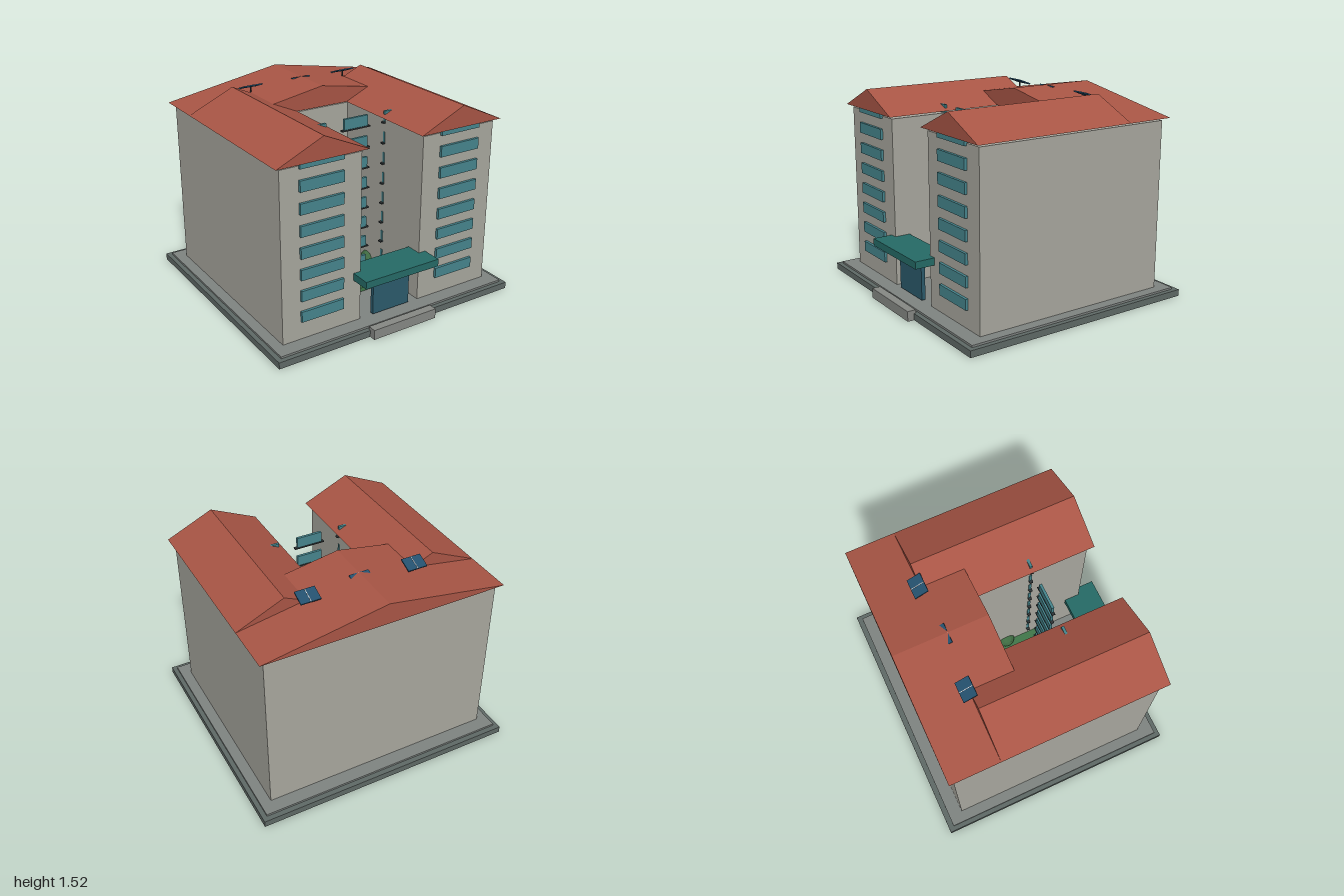
import * as THREE from 'three';

const mat = (color) => new THREE.MeshStandardMaterial({ color, flatShading: true });
const M = {
  wall: mat(0xa8a79e), roof: mat(0xa85545), glass: mat(0x46858d), slab: mat(0x5f6966),
  paving: mat(0x7f8481), step: mat(0x868884), lawn: mat(0x40774a), canopy: mat(0x256a66),
  door: mat(0x2b5a6b), rail: mat(0x2f3537), gold: mat(0xb08a3a), bush: mat(0x3f6b42),
  panel: mat(0x24506e), line: mat(0xcccccc),
};

export function createModel() {
  const model = new THREE.Group();

  const add = (name, geometry, material, x, y, z, parent = model) => {
    const mesh = new THREE.Mesh(geometry, material);
    mesh.name = name;
    mesh.position.set(x, y, z);
    parent.add(mesh);
    return mesh;
  };

  // box given by its extents on each axis
  const box = (name, material, [x0, x1], [y0, y1], [z0, z1], parent) =>
    add(name, new THREE.BoxGeometry(x1 - x0, y1 - y0, z1 - z0), material,
      (x0 + x1) / 2, (y0 + y1) / 2, (z0 + z1) / 2, parent);

  // solid gable roof with its ridge along z
  const gable = (name, xLeft, xRidge, xRight, z0, z1) => {
    const shape = new THREE.Shape([
      new THREE.Vector2(xLeft, 1.355), new THREE.Vector2(xRight, 1.355), new THREE.Vector2(xRidge, 1.515),
    ]);
    add(name, new THREE.ExtrudeGeometry(shape, { depth: z1 - z0, bevelEnabled: false }), M.roof, 0, 0, z0);
  };

  // ground
  box('baseSlab', M.slab, [-1, 1], [0, 0.05], [-0.955, 0.905]);
  box('paving', M.paving, [-0.965, 0.965], [0.05, 0.065], [-0.915, 0.87]);
  box('entranceStep', M.step, [-0.27, 0.27], [0, 0.075], [0.89, 0.955]);
  box('lawn', M.lawn, [-0.27, 0.27], [0.065, 0.095], [-0.41, 0.443]);

  // U-shaped block: back part and two wings
  box('backBlock', M.wall, [-0.255, 0.255], [0.065, 1.335], [-0.81, -0.18]);
  gable('backRoof', -0.925, 0, 0.925, -0.85, -0.14);
  for (const s of [-1, 1]) {
    const [a, b] = s < 0 ? [-0.885, -0.255] : [0.255, 0.885];
    box('wing', M.wall, [a, b], [0.065, 1.335], [-0.81, 0.755]);
    const [l, r] = s < 0 ? [-0.925, -0.217] : [0.217, 0.925];
    gable('wingRoof', l, s * 0.572, r, -0.475, 0.79);
  }

  // eight floors of windows: wing fronts, and courtyard columns with rails
  for (let floor = 0; floor < 8; floor++) {
    const y = 0.243 + floor * 0.1592;
    for (const s of [-1, 1]) {
      add('wingWindow', new THREE.BoxGeometry(0.338, 0.08, 0.03), M.glass, s * 0.573, y, 0.76);
    }
    for (const x of [-0.35, 0, 0.35]) {
      add('courtyardWindow', new THREE.BoxGeometry(0.2, 0.08, 0.02), M.glass, x, y, 0.302);
      add('balconyRail', new THREE.BoxGeometry(0.24, 0.01, 0.026), M.rail, x, y - 0.046, 0.302);
    }
  }

  // top row of inner windows under the eaves
  for (let i = -2; i <= 2; i++) {
    add('innerWindow', new THREE.BoxGeometry(0.22, 0.08, 0.02), M.glass, i * 0.35, 1.357, -0.35);
  }

  // entrance
  box('entranceDoor', M.door, [-0.157, 0.157], [0.08, 0.39], [0.745, 0.775]);
  box('entranceCanopy', M.canopy, [-0.313, 0.313], [0.39, 0.445], [0.635, 0.908]);

  // courtyard monument
  box('monumentBase', M.paving, [-0.12, 0.12], [0.095, 0.125], [-0.105, 0.135]);
  add('monumentColumn', new THREE.CylinderGeometry(0.03, 0.04, 0.3, 10), M.paving, 0, 0.27, 0.017);
  add('monumentBall', new THREE.SphereGeometry(0.055, 10, 8), M.gold, 0, 0.453, 0.017);

  // bushes beside the wings
  add('bush', new THREE.IcosahedronGeometry(0.075, 1), M.bush, -0.255, 0.145, 0.04);
  add('bush', new THREE.IcosahedronGeometry(0.075, 1), M.bush, 0.275, 0.115, 0.11);

  // tilted solar panels on posts
  for (const x of [-0.41, 0, 0.41]) {
    const solar = new THREE.Group();
    solar.name = 'solarPanel';
    solar.position.set(x, 1.49, -0.492);
    const tilt = new THREE.Group();
    tilt.rotation.x = -0.36;
    solar.add(tilt);
    add('panel', new THREE.BoxGeometry(0.15, 0.01, 0.108), M.panel, 0, 0, 0, tilt);
    add('panelDivider', new THREE.BoxGeometry(0.005, 0.002, 0.108), M.line, 0, 0.006, 0, tilt);
    add('panelPost', new THREE.CylinderGeometry(0.006, 0.006, 0.07, 8), M.rail, 0, -0.035, 0, solar);
    model.add(solar);
  }

  return model;
}
